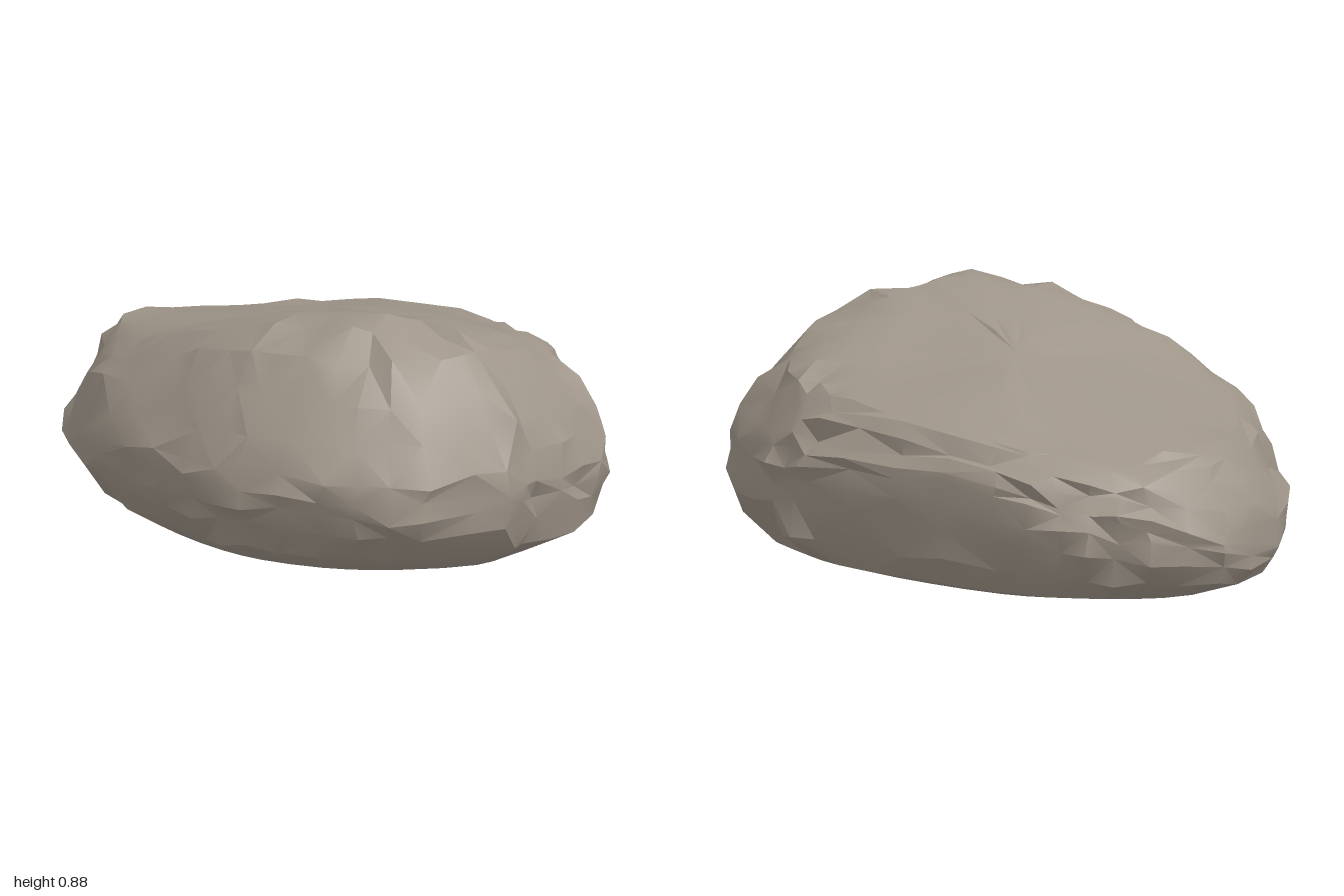
import * as THREE from 'three';
import { toCreasedNormals } from 'three/addons/utils/BufferGeometryUtils.js';

// Around the boulder from +x towards +z: widest point x, z, y, then plateau rim x, z, y
const STATIONS = [
  [0.99, 0, 0.33, 0.56, 0, 0.83], [0.98, 0.17, 0.32, 0.54, 0.1, 0.85],
  [0.82, 0.5, 0.33, 0.48, 0.16, 0.87], [0.62, 0.65, 0.34, 0.41, 0.22, 0.88],
  [0.3, 0.76, 0.36, 0.28, 0.28, 0.865], [0.05, 0.765, 0.35, 0.08, 0.3, 0.83],
  [-0.3, 0.69, 0.32, -0.2, 0.32, 0.745], [-0.6, 0.56, 0.28, -0.42, 0.31, 0.66],
  [-0.82, 0.32, 0.23, -0.66, 0.14, 0.59], [-1, 0, 0.19, -0.78, 0, 0.56],
  [-0.98, -0.36, 0.22, -0.77, -0.25, 0.53], [-0.8, -0.59, 0.3, -0.65, -0.45, 0.51],
  [-0.6, -0.7, 0.34, -0.47, -0.56, 0.52], [-0.37, -0.77, 0.38, -0.27, -0.61, 0.56],
  [0.08, -0.77, 0.42, 0.05, -0.59, 0.6], [0.5, -0.7, 0.38, 0.35, -0.54, 0.62],
  [0.7, -0.6, 0.35, 0.46, -0.46, 0.65], [0.97, -0.42, 0.33, 0.52, -0.34, 0.7],
  [1, -0.25, 0.33, 0.55, -0.18, 0.77],
];

// Underside from the flat base up: spread at the back and ends, spread at the front, rise
const UNDERSIDE = [
  [0.7, 0.59, 0], [0.84, 0.73, 0.085], [0.935, 0.86, 0.33], [0.98, 0.945, 0.62], [0.995, 0.985, 0.83],
];

// Weathered hollows: x, y, z, radius, depth
const HOLLOWS = [
  [0.97, 0.46, -0.45, 0.13, 0.05], [0.9, 0.6, 0.0, 0.12, 0.02],
  [0.95, 0.4, 0.12, 0.1, 0.02], [0.32, 0.77, -0.15, 0.08, 0.02],
  [0.7, 0.64, -0.42, 0.1, 0.02], [-0.84, 0.4, 0.25, 0.1, 0.02],
  [-0.1, 0.45, -0.76, 0.13, 0.02],
];

const SIDES = 42;
const SHOULDER_STEPS = 6;
const RIM = UNDERSIDE.length + SHOULDER_STEPS;
const TOP_CENTRE = new THREE.Vector3(0, 0.73, -0.1);
const BASE_CENTRE = new THREE.Vector3(0, 0, -0.06);
const { lerp, smoothstep, clamp } = THREE.MathUtils;

function seeded(seed) {
  return () => {
    seed = (seed * 1664525 + 1013904223) % 4294967296;
    return seed / 4294967296;
  };
}

function buildRings() {
  const curve = (k) => new THREE.CatmullRomCurve3(
    STATIONS.map((s) => new THREE.Vector3(s[k], s[k + 2], s[k + 1])), true, 'centripetal');
  const wide = curve(0), rim = curve(3);
  const rings = [];
  const addRing = (fn) => rings.push(Array.from({ length: SIDES }, (_, i) => {
    const t = i / SIDES;
    return fn(wide.getPoint(t), rim.getPoint(t));
  }));

  // Flat base and rounded underside, cut back further at the front
  for (const [ends, front, rise] of UNDERSIDE) {
    addRing((w) => {
      const spread = lerp(ends, front, smoothstep(w.z, 0, 0.6));
      return new THREE.Vector3(
        w.x * spread, w.y * rise, lerp(BASE_CENTRE.z, w.z, spread));
    });
  }
  // Shoulder curving from the widest line up to the rim, flatter at the front and left
  for (let j = 0; j <= SHOULDER_STEPS; j++) {
    const a = (j / SHOULDER_STEPS) * Math.PI / 2;
    addRing((w, r) => {
      const flat = Math.max(smoothstep(w.z, 0, 0.5), smoothstep(-w.x, 0.4, 0.95));
      const power = 1.15 + 0.3 * flat;
      return new THREE.Vector3(
        lerp(r.x, w.x, Math.cos(a)),
        lerp(w.y, r.y, Math.sin(a) ** power),
        lerp(r.z, w.z, Math.cos(a)));
    });
  }
  // Sloping plateau
  for (const f of [0.78, 0.54, 0.28]) addRing((w, r) => TOP_CENTRE.clone().lerp(r, f));
  return rings;
}

// Uneven facets: rougher on the right, calm on the plateau and the base
function weather(rings) {
  const rand = seeded(71);
  rings.forEach((ring, j) => ring.forEach((p) => {
    const dir = new THREE.Vector3(p.x, p.y - 0.35, p.z).normalize();
    const slide = new THREE.Vector3(rand() - 0.5, rand() - 0.5, rand() - 0.5);
    const push = rand() - 0.5;
    if (j < 2) return;
    const rough = j >= RIM ? 0.01 : 0.025 + 0.02 * smoothstep(p.x - p.z * 0.5, 0.4, 1);
    let depth = 0;
    for (const [x, y, z, radius, d] of HOLLOWS) {
      const q = ((p.x - x) ** 2 + (p.y - y) ** 2 + (p.z - z) ** 2) / radius ** 2;
      depth += d * Math.exp(-q);
    }
    if (j < RIM) p.addScaledVector(slide, 0.035);
    p.addScaledVector(dir, push * rough - depth);
    p.set(clamp(p.x, -1, 1), p.y, clamp(p.z, -0.77, 0.77));
  }));
}

function buildBoulder() {
  const rings = buildRings();
  weather(rings);
  const points = [...rings.flat(), BASE_CENTRE, TOP_CENTRE];
  const base = points.length - 2, top = points.length - 1;
  const last = (rings.length - 1) * SIDES;
  const index = [];
  for (let i = 0; i < SIDES; i++) {
    const n = (i + 1) % SIDES;
    index.push(base, i, n, top, last + n, last + i);
    for (let j = 0; j < rings.length - 1; j++) {
      const a = j * SIDES + i, b = j * SIDES + n, c = a + SIDES, d = b + SIDES;
      // Alternate the diagonal so the facets look broken
      if ((i * 7 + j * 3) % 5 < 2) index.push(a, c, b, b, c, d);
      else index.push(a, c, d, a, d, b);
    }
  }
  const geometry = new THREE.BufferGeometry().setFromPoints(points);
  geometry.setIndex(index);
  return toCreasedNormals(geometry, 0.5);
}

export function createModel() {
  const stone = new THREE.MeshStandardMaterial({ color: 0x9f9589 });
  stone.name = 'warm grey stone';
  const boulder = new THREE.Mesh(buildBoulder(), stone);
  boulder.name = 'boulder';
  const model = new THREE.Group();
  model.name = 'rock';
  model.add(boulder);
  return model;
}
